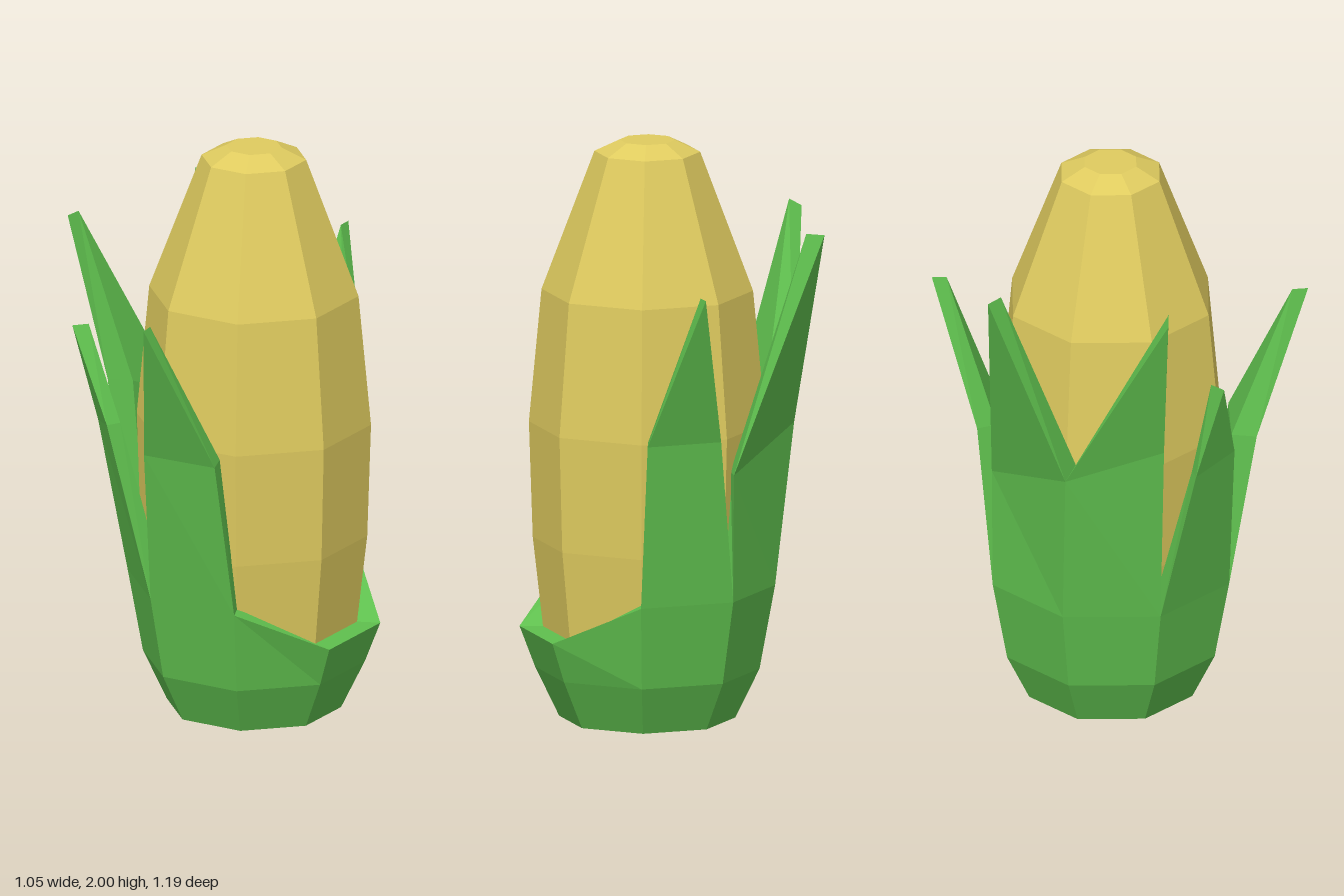
import * as THREE from 'three';

const CX = 0.085, CZ = -0.035; // axis of the cob

const ringPoint = (i, r, y) => {
  const a = (i * Math.PI) / 4; // 0 = +x, turning towards +z
  return [CX + r * Math.cos(a), y, CZ + r * Math.sin(a)];
};

// Flat-shaded geometry from a list of polygons, each a fan of points
function facets(polygons) {
  const pos = [];
  for (const p of polygons)
    for (let i = 1; i < p.length - 1; i++) pos.push(...p[0], ...p[i], ...p[i + 1]);
  const g = new THREE.BufferGeometry();
  g.setAttribute('position', new THREE.Float32BufferAttribute(pos, 3));
  g.computeVertexNormals();
  return g;
}

// Height of the husk rim at each of its eight corners (low at the +x back)
const rimY = [0.31, 0.46, 0.46, 0.46, 0.46, 0.46, 0.46, 0.31];
const outerRim = (i) => ringPoint(i % 8, 0.435, rimY[i % 8]);
const innerRim = (i) => ringPoint(i % 8, rimY[i % 8] < 0.4 ? 0.35 : 0.365, rimY[i % 8]);

function huskCup() {
  const polys = [];
  for (let i = 0; i < 8; i++) {
    const j = (i + 1) % 8;
    const rings = [
      (k) => [CX, 0, CZ],
      (k) => ringPoint(k, 0.3, 0),
      (k) => ringPoint(k, 0.382, 0.17),
      outerRim,
      innerRim,
      (k) => ringPoint(k, 0.3, 0.15),
    ];
    for (let n = 0; n < rings.length - 1; n++)
      polys.push([rings[n](i), rings[n + 1](i), rings[n + 1](j), rings[n](j)]);
  }
  return facets(polys);
}

// Thick leaf growing from one rim side: base, middle section, tip edge
function leaf({ side, mid, tip }) {
  const [aO, aI, bO, bI] = [outerRim(side), innerRim(side), outerRim(side + 1), innerRim(side + 1)];
  const [maO, maI, mbO, mbI] = mid;
  const [tO, tI] = tip;
  return facets([
    [aO, maO, mbO, bO], [maO, tO, mbO], // outside
    [aI, bI, mbI, maI], [maI, mbI, tI], // inside
    [aO, aI, maI, maO], [maO, maI, tI, tO], // first edge
    [bO, mbO, mbI, bI], [mbO, tO, tI, mbI], // second edge
  ]);
}

// mid: first corner outer/inner, second corner outer/inner; tip: outer/inner
const leaves = [
  { name: 'frontLeftLeaf', side: 1,
    mid: [[0.4, 1.01, 0.36], [0.34, 1.01, 0.295], [0.15, 1.01, 0.475], [0.13, 1.01, 0.39]],
    tip: [[0.315, 1.525, 0.597], [0.288, 1.525, 0.55]] },
  { name: 'frontRightLeaf', side: 2,
    mid: [[-0.06, 1.06, 0.478], [-0.055, 1.06, 0.425], [-0.216, 1.02, 0.4], [-0.178, 1.02, 0.37]],
    tip: [[-0.222, 1.38, 0.505], [-0.203, 1.38, 0.45]] },
  { name: 'rightFrontLeaf', side: 3,
    mid: [[-0.285, 1.13, 0.31], [-0.222, 1.13, 0.25], [-0.413, 1.02, 0.0], [-0.305, 1.02, 0.0]],
    tip: [[-0.42, 1.695, 0.38], [-0.378, 1.72, 0.365]] },
  { name: 'rightBackLeaf', side: 4,
    mid: [[-0.413, 1.02, 0.0], [-0.305, 1.02, 0.0], [-0.225, 0.9, -0.345], [-0.21, 0.9, -0.265]],
    tip: [[-0.528, 1.715, -0.237], [-0.465, 1.715, -0.215]] },
  { name: 'backLeaf', side: 5,
    mid: [[-0.185, 1.03, -0.415], [-0.135, 1.03, -0.365], [0.06, 1.03, -0.52], [0.063, 1.03, -0.44]],
    tip: [[-0.142, 1.555, -0.598], [-0.122, 1.555, -0.552]] },
];

export function createModel() {
  const group = new THREE.Group();
  group.name = 'cornCob';
  const yellow = new THREE.MeshStandardMaterial({ color: 0xdfcb5f });
  yellow.name = 'cornYellow';
  const green = new THREE.MeshStandardMaterial({ color: 0x5fbf4e });
  green.name = 'huskGreen';

  const add = (name, geometry, material) => {
    const mesh = new THREE.Mesh(geometry, material);
    mesh.name = name;
    group.add(mesh);
    return mesh;
  };

  // Eight-sided cob
  const profile = [[0, 0.1], [0.3, 0.1], [0.355, 0.31], [0.39, 0.62], [0.403, 1.02],
    [0.36, 1.48], [0.18, 1.96], [0.095, 2], [0, 2]].map(([r, y]) => new THREE.Vector2(r, y));
  const cobGeometry = new THREE.LatheGeometry(profile, 8).toNonIndexed();
  cobGeometry.computeVertexNormals();
  add('cob', cobGeometry, yellow).position.set(CX, 0, CZ);

  // Husk cup and its five leaves
  add('huskCup', huskCup(), green);
  for (const l of leaves) add(l.name, leaf(l), green);
  return group;
}
